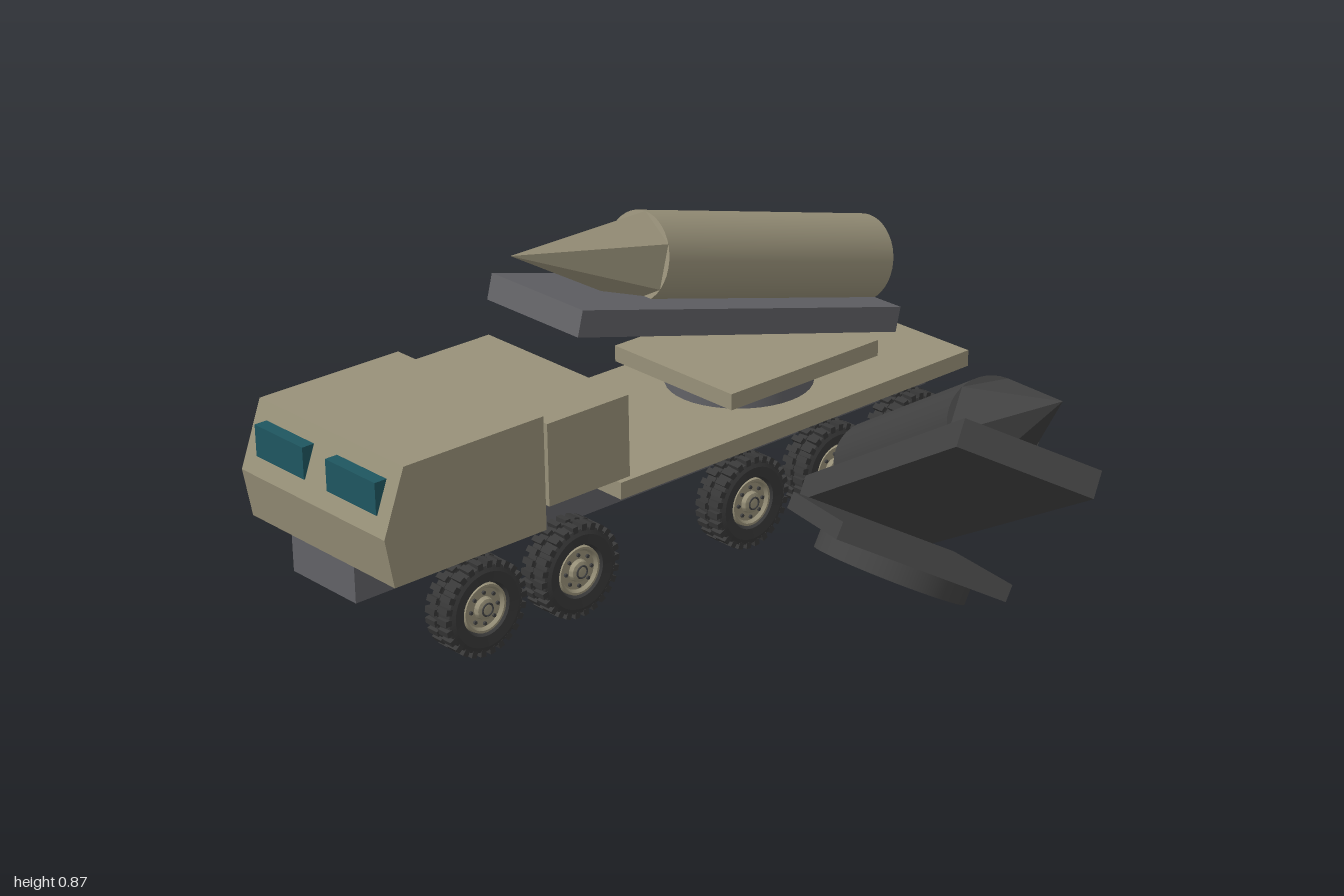
import * as THREE from 'three';
import { mergeGeometries, toCreasedNormals } from 'three/addons/utils/BufferGeometryUtils.js';

const material = (name, color) => new THREE.MeshStandardMaterial({ name, color });
const rad = THREE.MathUtils.degToRad;
const TRUCK_X = -0.622;

function addMesh(parent, name, geometry, mat, x = 0, y = 0, z = 0) {
  const mesh = new THREE.Mesh(geometry, mat);
  mesh.name = name;
  mesh.position.set(x, y, z);
  parent.add(mesh);
  return mesh;
}

const box = (w, h, d) => new THREE.BoxGeometry(w, h, d);

function lathe(points, segments) {
  const profile = points.map(([r, y]) => new THREE.Vector2(r, y));
  return toCreasedNormals(new THREE.LatheGeometry(profile, segments), 0.5);
}

// Wheel parts are turned about y; the outer side is +y
function wheelGeometries() {
  const tyre = lathe([[0, -0.043], [0.1, -0.045], [0.115, -0.038], [0.119, -0.005],
    [0.114, -0.004], [0.114, 0.004], [0.119, 0.005], [0.115, 0.038], [0.1, 0.045],
    [0.072, 0.041], [0.066, 0.025], [0, 0.025]], 40);

  // Two staggered rows of tread blocks
  const blocks = [];
  const count = 26;
  for (const side of [-1, 1]) {
    for (let i = 0; i < count; i++) {
      const block = box(0.018, 0.036, 0.016);
      block.translate(0.118, side * 0.023, 0);
      block.rotateY(((i + (side > 0 ? 0.5 : 0)) / count) * Math.PI * 2);
      blocks.push(block);
    }
  }

  const rim = lathe([[0.066, 0.026], [0.064, 0.038], [0.058, 0.038], [0.052, 0.029],
    [0.03, 0.029], [0.027, 0.041], [0.018, 0.045], [0, 0.045]], 32);

  // Ring of wheel bolts with a dark hub ring
  const bolts = [];
  for (let i = 0; i < 8; i++) {
    const a = (i / 8) * Math.PI * 2;
    const bolt = new THREE.CylinderGeometry(0.005, 0.005, 0.008, 6);
    bolt.translate(Math.cos(a) * 0.042, 0.031, Math.sin(a) * 0.042);
    bolts.push(bolt);
  }
  const hubRing = new THREE.TorusGeometry(0.016, 0.0025, 6, 24);
  hubRing.rotateX(Math.PI / 2);
  hubRing.translate(0, 0.045, 0);
  bolts.push(hubRing);

  return { tyre, tread: mergeGeometries(blocks), rim, bolts: mergeGeometries(bolts) };
}

// Turntable, base plate, tilted rail and rocket; the origin is under the turntable
function createLauncher(name, bodyMat, metalMat) {
  const launcher = new THREE.Group();
  launcher.name = name;
  addMesh(launcher, 'turntable', new THREE.CylinderGeometry(0.2, 0.2, 0.054, 40), metalMat, 0, 0.027, 0);
  addMesh(launcher, 'basePlate', box(0.456, 0.045, 0.533), bodyMat, 0, 0.075, -0.028);

  const tilt = new THREE.Group();
  tilt.name = 'tiltedRail';
  tilt.position.set(0, 0.14, -0.432);
  tilt.rotation.x = -rad(15);
  launcher.add(tilt);
  addMesh(tilt, 'rail', box(0.353, 0.07, 1.16), metalMat, 0, -0.035, 0.58);

  const body = new THREE.CylinderGeometry(0.12, 0.12, 0.838, 40);
  body.rotateX(Math.PI / 2);
  addMesh(tilt, 'rocketBody', body, bodyMat, 0, 0.091, 0.419);

  // Six-sided nose with an edge along the top
  const nose = toCreasedNormals(new THREE.ConeGeometry(0.12, 0.43, 6), 0.1);
  nose.rotateX(Math.PI / 2);
  addMesh(tilt, 'rocketNose', nose, bodyMat, 0, 0.091, 1.053);
  return launcher;
}

export function createModel() {
  const tan = material('tanPaint', 0x989179);
  const grey = material('greyMetal', 0x626266);
  const dark = material('darkMetal', 0x424242);
  const rubber = material('tyreRubber', 0x383838);
  const glass = material('tealGlass', 0x1f5660);

  const model = new THREE.Group();
  model.name = 'launcherTruck';

  const truck = new THREE.Group();
  truck.name = 'truck';
  truck.position.x = TRUCK_X;
  model.add(truck);

  // Chassis beam, rear deck and equipment box
  addMesh(truck, 'chassis', box(0.25, 0.1, 1.974), grey, 0, 0.219, -0.011);
  addMesh(truck, 'deck', box(0.568, 0.046, 1.257), tan, 0, 0.293, -0.3695);
  addMesh(truck, 'equipmentBox', box(0.546, 0.222, 0.264), tan, 0, 0.43, 0.351);

  // Cab, drawn from the side and extruded across the truck
  const side = new THREE.Shape([[0.504, 0.267], [0.976, 0.267], [1.0, 0.4], [0.934, 0.572], [0.504, 0.572]]
    .map(([z, y]) => new THREE.Vector2(z, y)));
  const cab = new THREE.ExtrudeGeometry(side, { depth: 0.57, bevelEnabled: false });
  cab.translate(0, 0, -0.285);
  cab.rotateY(-Math.PI / 2);
  addMesh(truck, 'cab', cab, tan);
  for (const s of [-1, 1]) {
    addMesh(truck, s > 0 ? 'leftWindow' : 'rightWindow', box(0.193, 0.085, 0.05), glass, s * 0.142, 0.488, 0.961);
  }

  // Five axles with a wheel on either side
  const parts = wheelGeometries();
  for (const z of [0.715, 0.412, -0.175, -0.48, -0.783]) {
    for (const s of [-1, 1]) {
      const wheel = new THREE.Group();
      wheel.name = s > 0 ? 'leftWheel' : 'rightWheel';
      wheel.position.set(s * 0.262, 0.128, z);
      wheel.rotation.z = -s * Math.PI / 2;
      addMesh(wheel, 'tyre', parts.tyre, rubber);
      addMesh(wheel, 'tread', parts.tread, rubber);
      addMesh(wheel, 'rim', parts.rim, tan);
      addMesh(wheel, 'bolts', parts.bolts, dark);
      truck.add(wheel);
    }
  }

  const mounted = createLauncher('mountedLauncher', tan, grey);
  mounted.position.set(0, 0.315, -0.41);
  truck.add(mounted);

  // Detached dark launcher lying tilted beside the truck
  const detached = createLauncher('detachedLauncher', dark, dark);
  detached.position.set(0.247, 0.142, -0.107);
  detached.rotation.set(-rad(30), rad(56), 0);
  model.add(detached);

  return model;
}
